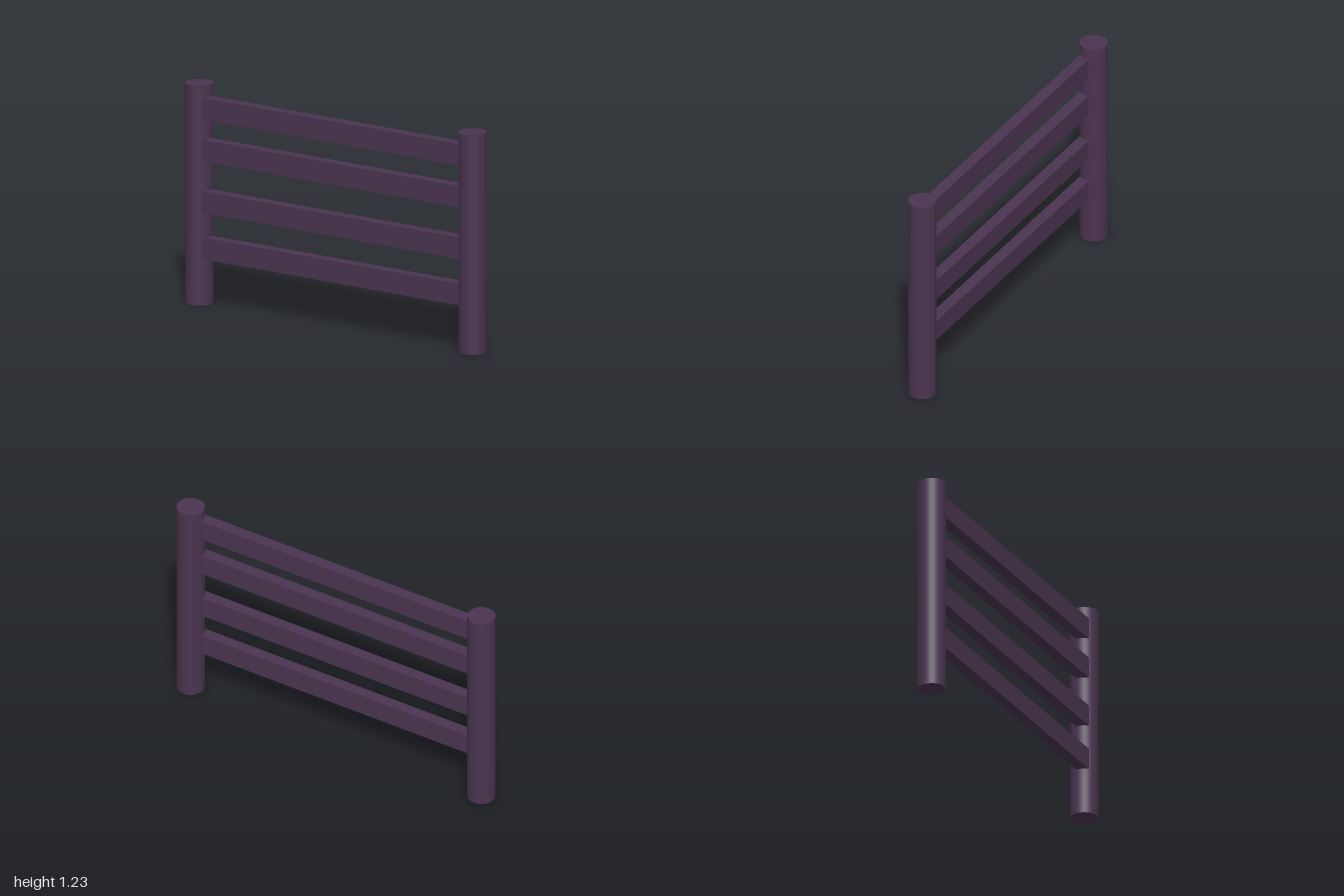
import * as THREE from 'three';

export function createModel() {
  const group = new THREE.Group();
  group.name = 'fence';
  const material = new THREE.MeshStandardMaterial({ color: 0x4a3450 });

  // Round posts at both ends
  const radius = 0.077, height = 1.225;
  const postGeometry = new THREE.CylinderGeometry(radius, radius, height, 32);
  for (const [name, side] of [['leftPost', 1], ['rightPost', -1]]) {
    const post = new THREE.Mesh(postGeometry, material);
    post.name = name;
    post.position.set(side * (1 - radius), height / 2, 0);
    group.add(post);
  }

  // Flat rails, set slightly forward and let into the posts
  const railGeometry = new THREE.BoxGeometry(1.738, 0.12, 0.065);
  [0.321, 0.579, 0.865, 1.099].forEach((y, i) => {
    const rail = new THREE.Mesh(railGeometry, material);
    rail.name = `rail${i + 1}`;
    rail.position.set(0, y, 0.022);
    group.add(rail);
  });

  return group;
}
